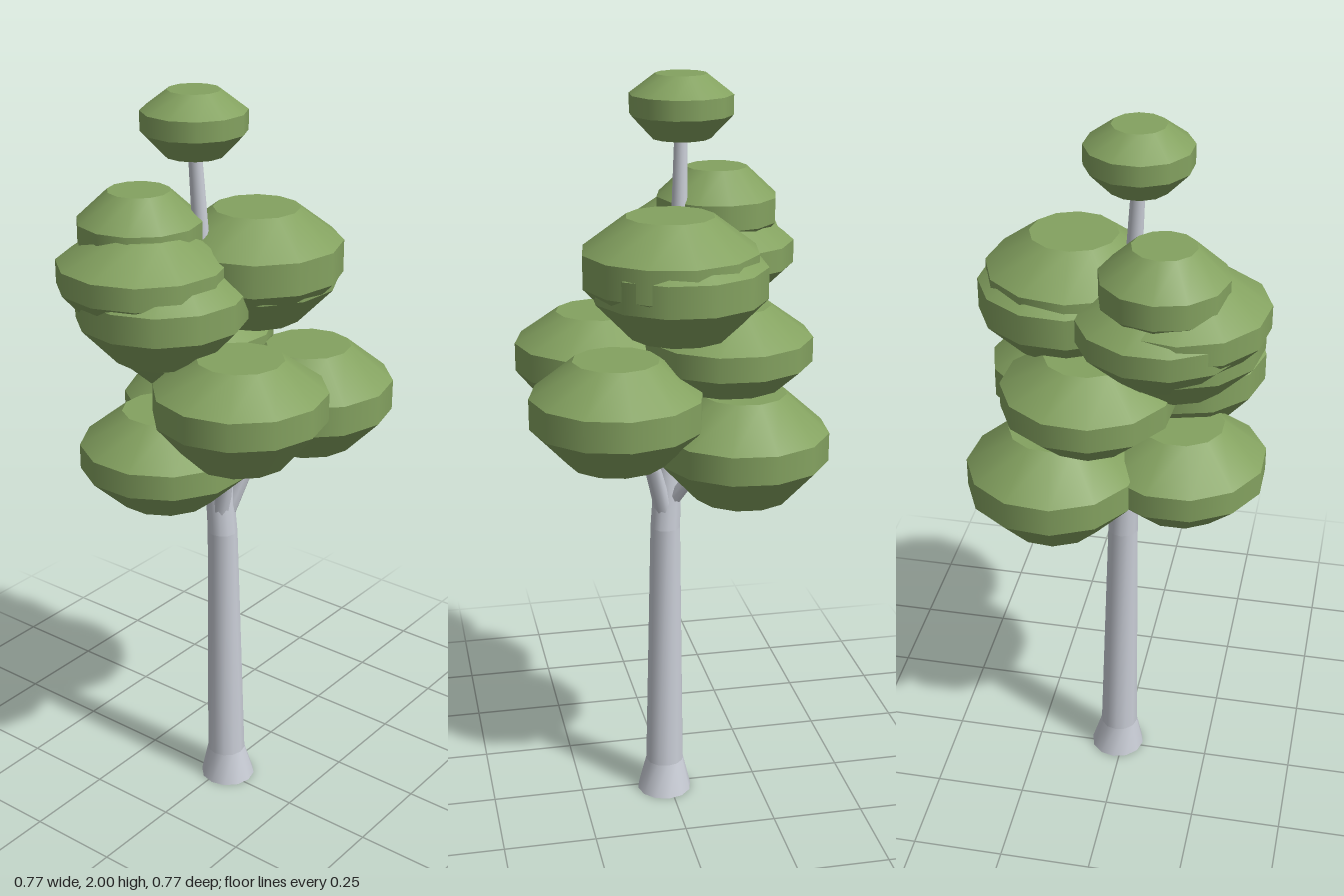
import * as THREE from 'three';
import { mergeGeometries } from 'three/addons/utils/BufferGeometryUtils.js';

const bark = new THREE.MeshStandardMaterial({ color: 0xc9cdd6, side: THREE.DoubleSide });
bark.name = 'pale bark';
const leaf = new THREE.MeshStandardMaterial({ color: 0x84a260 });
leaf.name = 'leaf green';

// Twelve-sided clump: flared underside, upright rim, sloping top, flat caps.
function clumpGeometry(r, [y0, y1, y2, y3], turn) {
  const rb = r * 0.57, rt = r * 0.5;
  const band = (top, bottom, ya, yb) =>
    new THREE.CylinderGeometry(top, bottom, yb - ya, 12, 1, true).translate(0, (ya + yb) / 2, 0);
  return mergeGeometries([
    band(r, rb, y0, y1),
    band(r, r, y1, y2),
    band(rt, r, y2, y3),
    new THREE.CircleGeometry(rt, 12).rotateZ(Math.PI / 2).rotateX(-Math.PI / 2).translate(0, y3, 0),
    new THREE.CircleGeometry(rb, 12).rotateZ(Math.PI / 2).rotateX(Math.PI / 2).translate(0, y0, 0),
  ]).rotateY(turn);
}

// Open limb through horizontal rings given as [x, y, z, radius].
function limbGeometry(rings, sides = 12) {
  const geo = new THREE.CylinderGeometry(1, 1, 1, sides, rings.length - 1, true);
  const pos = geo.attributes.position;
  for (let i = 0; i < pos.count; i++) {
    const [x, y, z, r] = rings[rings.length - 1 - Math.floor(i / (sides + 1))];
    pos.setXYZ(i, x + pos.getX(i) * r, y, z + pos.getZ(i) * r);
  }
  geo.computeVertexNormals();
  // Match the normals across the seam
  const n = geo.attributes.normal;
  for (let k = 0; k < rings.length; k++) {
    const a = k * (sides + 1), b = a + sides;
    const v = new THREE.Vector3().fromBufferAttribute(n, a)
      .add(new THREE.Vector3().fromBufferAttribute(n, b)).normalize();
    n.setXYZ(a, v.x, v.y, v.z);
    n.setXYZ(b, v.x, v.y, v.z);
  }
  return geo;
}

export function createModel() {
  const tree = new THREE.Group();
  tree.name = 'tree';
  const add = (name, geo, mat) => {
    const mesh = new THREE.Mesh(geo, mat);
    mesh.name = name;
    tree.add(mesh);
    return mesh;
  };

  // Trunk: flared foot, long shaft, thin leader up to the crown
  add('trunkFoot', limbGeometry([[0.017, 0, 0.015, 0.076], [0.012, 0.09, 0.013, 0.053]]), bark);
  add('trunk', limbGeometry([[0.012, 0.09, 0.013, 0.053], [0, 0.8, 0.008, 0.041]]), bark);
  add('leader', limbGeometry([
    [0, 0.8, 0.008, 0.041], [-0.012, 1.1, -0.008, 0.034],
    [-0.035, 1.65, -0.036, 0.021], [-0.048, 1.87, -0.043, 0.017]]), bark);

  // Leaf clumps: name, x, z, radius, ring heights, turn
  const clumps = [
    ['crown', -0.048, -0.043, 0.133, [1.84, 1.9, 1.95, 2.0], 0.2],
    ['upperLeft', 0.125, 0.02, 0.225, [1.41, 1.51, 1.595, 1.68], 0.1],
    ['upperLeftUnder', 0.142, 0, 0.223, [1.38, 1.48, 1.56, 1.64], 0.2],
    ['upperBackTop', -0.13, -0.155, 0.16, [1.54, 1.61, 1.675, 1.75], 0],
    ['upperBack', -0.125, -0.142, 0.216, [1.41, 1.5, 1.56, 1.64], 0.25],
    ['upperRight', -0.168, -0.115, 0.218, [1.42, 1.525, 1.585, 1.66], 0.1],
    ['upperRightFront', -0.152, -0.068, 0.218, [1.34, 1.44, 1.515, 1.605], 0.1],
    ['middleBack', 0.06, -0.145, 0.22, [1.2, 1.285, 1.35, 1.43], 0.2],
    ['middleRight', -0.13, 0.165, 0.222, [1.11, 1.225, 1.3, 1.38], 0],
    ['middleLeft', 0.162, 0.165, 0.223, [1.06, 1.16, 1.24, 1.33], 0],
    ['lowerRight', -0.165, -0.05, 0.222, [0.955, 1.045, 1.11, 1.2], 0.26],
    ['lowerBack', 0.148, -0.167, 0.223, [0.94, 1.045, 1.12, 1.22], 0.17],
  ];
  for (const [name, x, z, r, heights, turn] of clumps) {
    add(name + 'Leaves', clumpGeometry(r, heights, turn), leaf).position.set(x, 0, z);
  }

  // Branches leaving the trunk top for every clump below the crown
  for (const [name, x, z, , h] of clumps.slice(1)) {
    const start = Math.max(0.8, h[0] - 0.3 + (h[0] < 1 ? 0.22 : 0));
    const mid = (start + h[1]) / 2;
    add(name + 'Branch', limbGeometry([
      [-0.005, start, 0, 0.026], [x * 0.3, mid, z * 0.3, 0.022], [x * 0.75, h[1], z * 0.75, 0.014]], 8), bark);
  }
  return tree;
}
